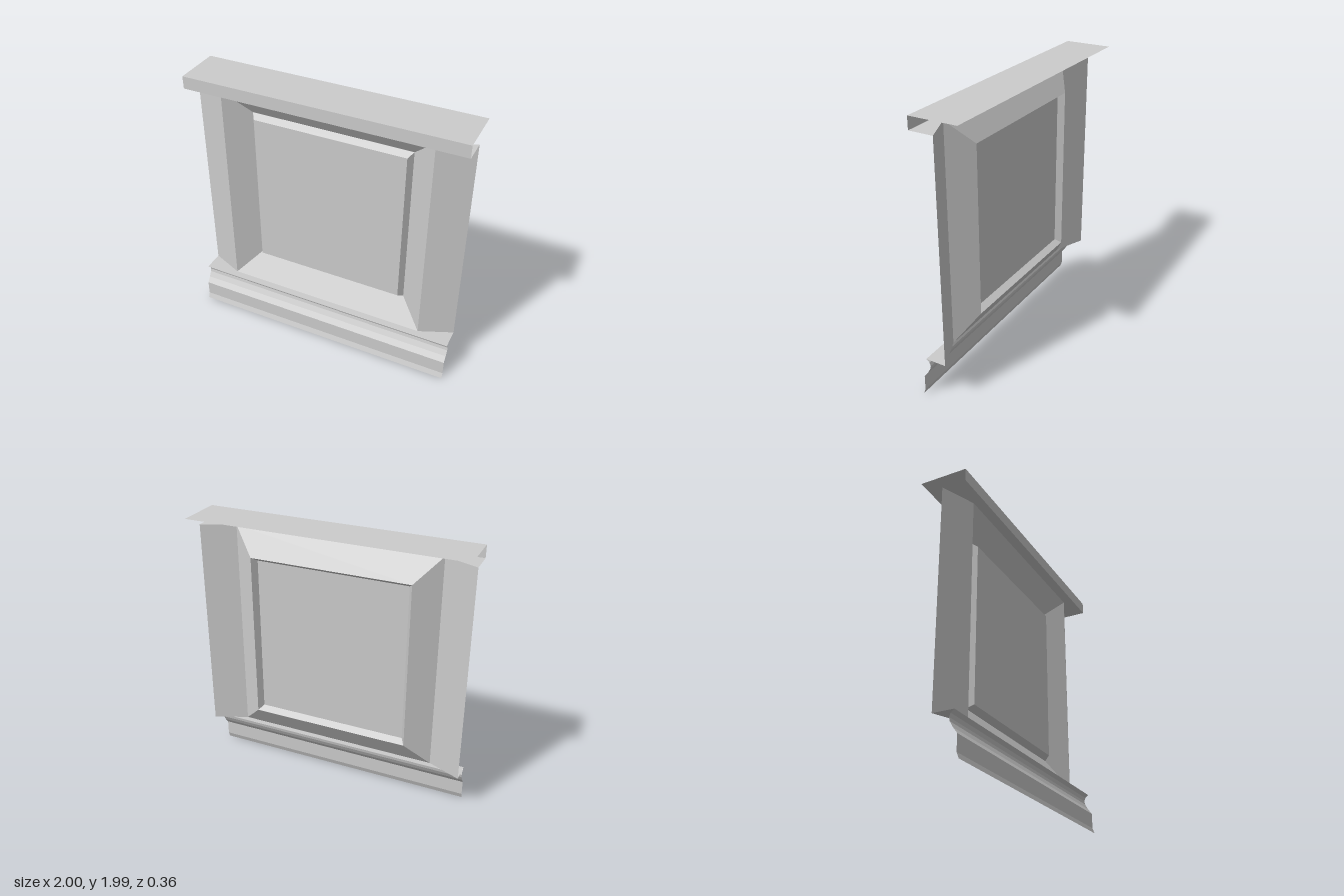
import * as THREE from 'three';

const material = new THREE.MeshStandardMaterial({ color: 0xcccccc, flatShading: true, side: THREE.DoubleSide });

// Sheet from four-cornered faces, corners counter-clockwise seen from the front
function sheet(name, quads) {
  const positions = [];
  for (const [a, b, c, d] of quads) positions.push(...a, ...b, ...c, ...a, ...c, ...d);
  const geometry = new THREE.BufferGeometry();
  geometry.setAttribute('position', new THREE.Float32BufferAttribute(positions, 3));
  geometry.computeVertexNormals();
  const mesh = new THREE.Mesh(geometry, material);
  mesh.name = name;
  return mesh;
}

// Full-width strip swept along x from a [y, z] profile running upwards
function strip(name, profile) {
  const quads = [];
  for (let i = 0; i < profile.length - 1; i++) {
    const [p, q] = [profile[i], profile[i + 1]];
    quads.push([[-1, ...p], [1, ...p], [1, ...q], [-1, ...q]]);
  }
  return sheet(name, quads);
}

// Rectangle facing the front, and the four mitred faces joining two of them
const ring = (halfWidth, bottom, top, z) => [
  [-halfWidth, bottom, z], [halfWidth, bottom, z], [halfWidth, top, z], [-halfWidth, top, z],
];
const mitred = (outer, inner) => outer.map((p, i) => {
  const j = (i + 1) % 4;
  return [p, outer[j], inner[j], inner[i]];
});

// Horizontal ledge whose back edge follows the angled pilasters
function ledge(name, y, front, up) {
  const s = up ? -1 : 1;
  const outline = [[-1, front], [1, front], [1, -0.01], [0.76, 0.09], [-0.76, 0.09], [-1, -0.01]];
  const shape = new THREE.Shape(outline.map(([x, z]) => new THREE.Vector2(x, s * z)));
  const mesh = new THREE.Mesh(new THREE.ShapeGeometry(shape).rotateX(s * Math.PI / 2), material);
  mesh.position.y = y;
  mesh.name = name;
  return mesh;
}

export function createModel() {
  const group = new THREE.Group();
  group.name = 'wallPanel';
  const low = 0.3, high = 1.9;

  // Recessed frame, small bevel and raised centre panel
  const opening = ring(0.76, low, high, 0.09);
  const recess = ring(0.59, 0.48, 1.72, -0.03);
  const face = ring(0.56, 0.51, 1.69, 0.015);
  group.add(
    sheet('recessFrame', mitred(opening, recess)),
    sheet('panelBevel', mitred(recess, face)),
    sheet('centrePanel', [face]),
  );

  // Angled pilasters on both sides
  group.add(
    sheet('leftPilaster', [[[0.76, low, 0.09], [1, low, -0.01], [1, high, -0.01], [0.76, high, 0.09]]]),
    sheet('rightPilaster', [[[-1, low, -0.01], [-0.76, low, 0.09], [-0.76, high, 0.09], [-1, high, -0.01]]]),
  );

  // Top cap: fascia, top plate and soffit
  group.add(
    strip('topCap', [[high, 0.165], [1.99, 0.165], [1.99, -0.18]]),
    ledge('topSoffit', high, 0.165, false),
  );

  // Skirting with a cove, and the ledge above it
  group.add(
    strip('skirting', [
      [0, 0.18], [0.04, 0.165], [0.15, 0.165], [0.19, 0.135], [0.23, 0.113],
      [0.255, 0.108], [0.28, 0.117], [low, 0.142],
    ]),
    ledge('skirtingLedge', low, 0.142, true),
  );
  return group;
}
